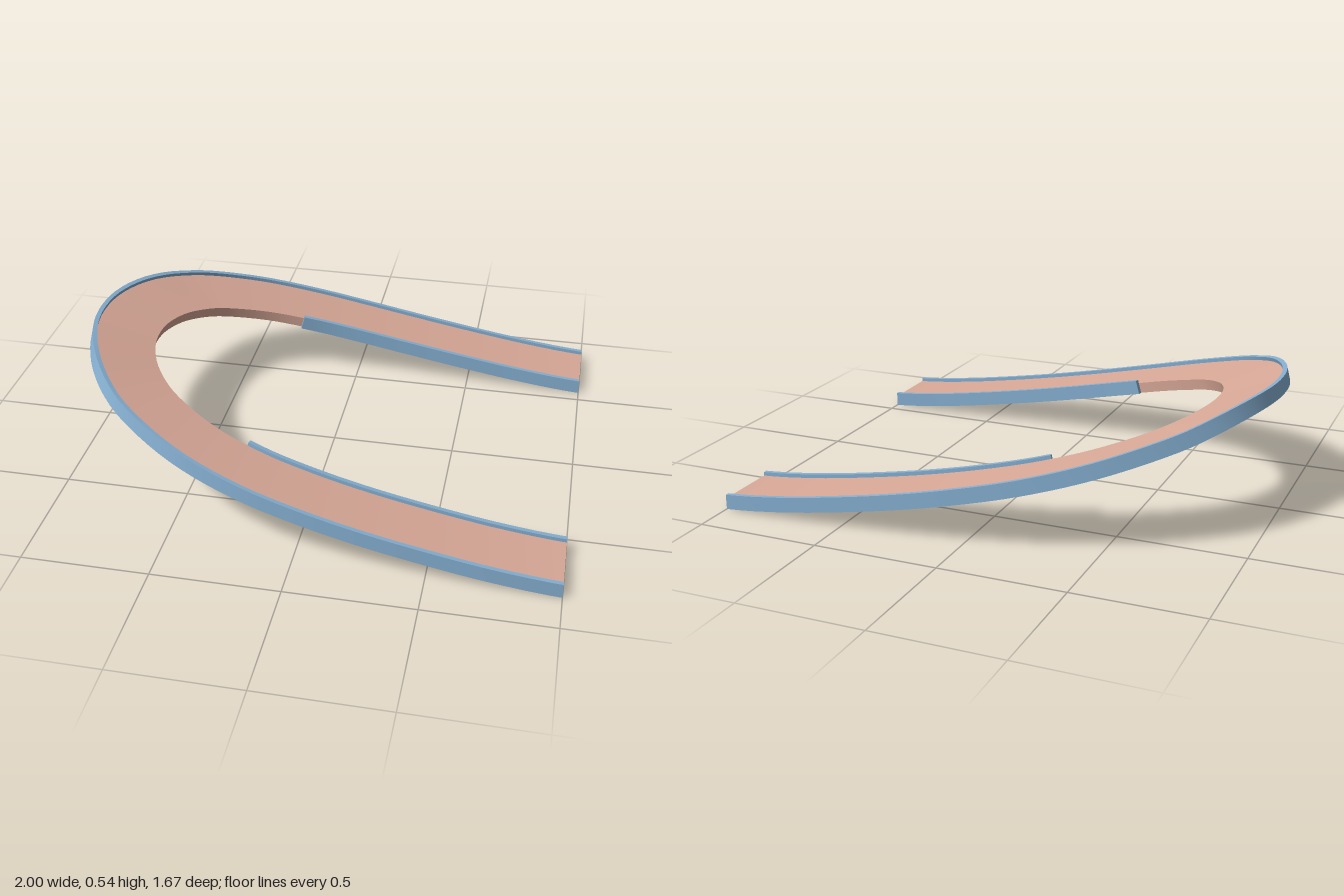
import * as THREE from 'three';

// Height of the ramp's underside along x, at even steps from x = -1 to x = 1
const slope = new THREE.SplineCurve(
  [0.48, 0.39, 0.305, 0.231, 0.168, 0.113, 0.066, 0.026, 0].map((y, i) => new THREE.Vector2(-1 + i * 0.25, y)));
const height = x => slope.getPoint(THREE.MathUtils.clamp((x + 1) / 2, 0, 1)).y;
const slopeAngle = x => {
  const a = Math.max(-0.99, x - 0.02), b = Math.min(1, x + 0.02);
  return Math.atan((height(b) - height(a)) / (b - a));
};

// Plan of the U-shaped centre line, one half mirrored in z
const half = [[1, 0.697], [0.7, 0.697], [0.4, 0.692], [0.2, 0.685], [0, 0.671], [-0.2, 0.645], [-0.4, 0.592],
  [-0.56, 0.515], [-0.69, 0.42], [-0.79, 0.29], [-0.85, 0.14], [-0.868, 0]];
const plan = new THREE.SplineCurve([...half, ...half.slice(0, -1).reverse().map(([x, z]) => [x, -z])]
  .map(([x, z]) => new THREE.Vector2(x, z)));

// Point on the ramp: t along the path, d outwards across it, h above the underside
function place(t, d, h) {
  const c = plan.getPoint(t);
  const a = plan.getPoint(Math.max(0, t - 0.002)), b = plan.getPoint(Math.min(1, t + 0.002));
  const cos = Math.cos(slopeAngle(c.x));
  const dir = new THREE.Vector2((b.x - a.x) / cos, b.y - a.y).normalize();
  const x = c.x + d * dir.y * cos, z = c.y - d * dir.x;
  const tilt = slopeAngle(x);
  return [Math.min(1, x - h * Math.sin(tilt)), height(x) + h * Math.cos(tilt), z];
}

// Rectangular section swept along the path, smooth lengthways with sharp long edges
function sweep(name, material, d0, d1, h, t0, t1, steps) {
  const corners = [[d0, 0], [d1, 0], [d1, h], [d0, h]];
  const pos = [], index = [];
  for (let k = 0; k < 4; k++) {
    const base = pos.length / 3;
    for (let i = 0; i <= steps; i++) {
      const t = t0 + (t1 - t0) * i / steps;
      pos.push(...place(t, ...corners[k]), ...place(t, ...corners[(k + 1) % 4]));
      if (i < steps) {
        const a = base + i * 2;
        index.push(a, a + 1, a + 3, a, a + 3, a + 2);
      }
    }
  }
  // End caps
  for (const [t, order] of [[t0, [0, 2, 1, 0, 3, 2]], [t1, [0, 1, 2, 0, 2, 3]]]) {
    const base = pos.length / 3;
    corners.forEach(c => pos.push(...place(t, ...c)));
    index.push(...order.map(i => base + i));
  }
  const geometry = new THREE.BufferGeometry();
  geometry.setAttribute('position', new THREE.Float32BufferAttribute(pos, 3));
  geometry.setIndex(index);
  geometry.computeVertexNormals();
  const mesh = new THREE.Mesh(geometry, material);
  mesh.name = name;
  return mesh;
}

export function createModel() {
  const deckMaterial = new THREE.MeshStandardMaterial({ color: 0xd9a998 });
  deckMaterial.name = 'salmon';
  const railMaterial = new THREE.MeshStandardMaterial({ color: 0x86b0d2 });
  railMaterial.name = 'light blue';

  const group = new THREE.Group();
  group.name = 'curvedRamp';
  const inner = 0.245; // path share covered by each inner rail
  group.add(
    sweep('deck', deckMaterial, -0.1225, 0.1225, 0.045, 0, 1, 88),
    sweep('outerRail', railMaterial, 0.1225, 0.14, 0.06, 0, 1, 88),
    sweep('innerRailFront', railMaterial, -0.14, -0.1225, 0.06, 0, inner, 22),
    sweep('innerRailBack', railMaterial, -0.14, -0.1225, 0.06, 1 - inner, 1, 22));
  return group;
}
